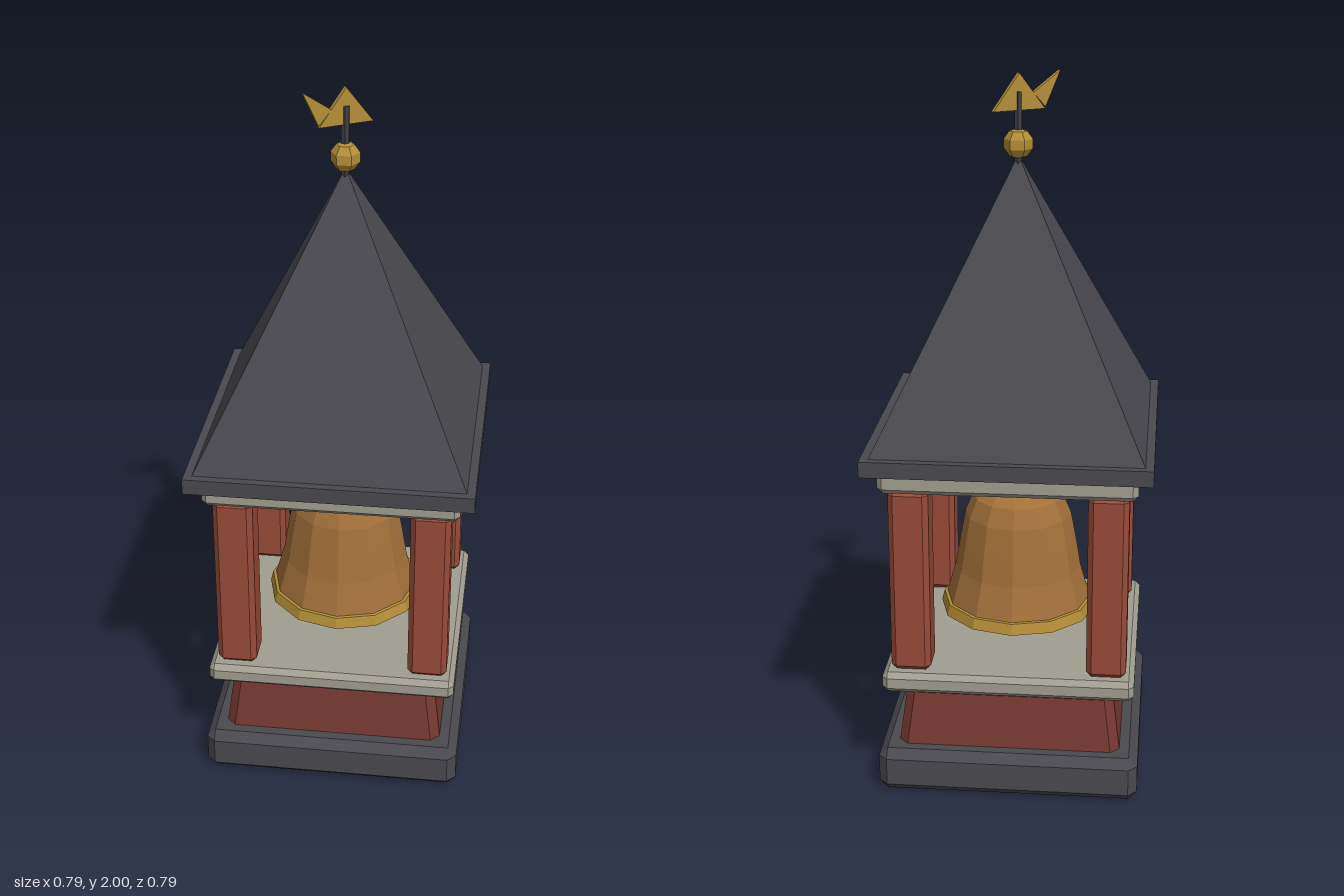
import * as THREE from 'three';
import { ConvexGeometry } from 'three/addons/geometries/ConvexGeometry.js';

const mat = (name, color, side = THREE.FrontSide) =>
  new THREE.MeshStandardMaterial({ name, color, side, flatShading: true });

// Box with chamfered edges standing on y0; halfTop lets the sides taper
function chamferBox(half, y0, y1, c, halfTop = half) {
  const pts = [];
  const ring = (y, a, b) => {
    for (const sx of [-1, 1]) for (const sz of [-1, 1]) {
      pts.push(new THREE.Vector3(sx * a, y, sz * b));
      if (a !== b) pts.push(new THREE.Vector3(sx * b, y, sz * a));
    }
  };
  ring(y0, half - c, half - c);
  ring(y0 + c, half, half - c);
  ring(y1 - c, halfTop, halfTop - c);
  ring(y1, halfTop - c, halfTop - c);
  return new ConvexGeometry(pts);
}

export function createModel() {
  const slate = mat('slate', 0x4a494f);
  const stone = mat('stone', 0xa19d90);
  const brick = mat('brick', 0x984b39);
  const darkBrick = mat('dark brick', 0x763931);
  const bronze = mat('bronze', 0xa3703a, THREE.DoubleSide);
  const gold = mat('gold', 0xb48f38, THREE.DoubleSide);
  const wood = mat('wood', 0x513626);
  const iron = mat('iron', 0x404046);

  const model = new THREE.Group();
  model.name = 'bellTower';
  const add = (name, geometry, material, x = 0, y = 0, z = 0) => {
    const mesh = new THREE.Mesh(geometry, material);
    mesh.name = name;
    mesh.position.set(x, y, z);
    model.add(mesh);
    return mesh;
  };

  // Stepped base
  add('base', chamferBox(0.37, 0, 0.13, 0.025), slate);
  add('plinth', chamferBox(0.317, 0.1, 0.31, 0.025, 0.296), darkBrick);
  add('floorSlab', chamferBox(0.355, 0.31, 0.37, 0.015), stone);

  // Four corner columns
  for (const sx of [-1, 1]) for (const sz of [-1, 1])
    add('column', chamferBox(0.056, 0.37, 0.915, 0.015), brick, sx * 0.275, 0, sz * 0.275);

  // Roof
  add('ceilingSlab', chamferBox(0.355, 0.912, 0.98, 0.015), stone);
  add('eave', new THREE.BoxGeometry(0.79, 0.045, 0.79), slate, 0, 0.998, 0);
  add('roof', new THREE.ConeGeometry(0.372 * Math.SQRT2, 0.76, 4), slate, 0, 1.4, 0).rotation.y = Math.PI / 4;

  // Bell hung from a beam
  add('beam', new THREE.BoxGeometry(0.6, 0.06, 0.1), wood, 0, 0.883, 0);
  add('bellHanger', new THREE.CylinderGeometry(0.03, 0.03, 0.04, 8), iron, 0, 0.845, 0);
  const lathe = (pts) => new THREE.LatheGeometry(pts.map(([r, y]) => new THREE.Vector2(r, y)), 12);
  add('bell', lathe([[0.212, 0.472], [0.184, 0.57], [0.17, 0.655], [0.155, 0.735],
    [0.132, 0.79], [0.08, 0.832], [0, 0.838]]), bronze);
  add('bellLip', lathe([[0.2, 0.474], [0.205, 0.442], [0.228, 0.442], [0.22, 0.474], [0.2, 0.476]]), gold);
  add('clapperRod', new THREE.CylinderGeometry(0.012, 0.012, 0.38, 6), iron, 0, 0.64, 0);
  add('clapper', new THREE.SphereGeometry(0.046, 10, 8), iron, 0, 0.441, 0);

  // Finial and weathervane
  add('finialBall', new THREE.SphereGeometry(0.042, 6, 5), gold, 0, 1.81, 0);
  add('vanePole', new THREE.CylinderGeometry(0.012, 0.012, 0.2, 6), iron, 0, 1.85, 0);
  const vanePlate = (name, pts) => {
    const shape = new THREE.Shape(pts.map(([x, y]) => new THREE.Vector2(x, y)));
    const g = new THREE.ExtrudeGeometry(shape, { depth: 0.014, bevelEnabled: false });
    g.translate(0, 0, -0.007);
    add(name, g, gold).rotation.y = Math.PI / 6;
  };
  vanePlate('vaneHead', [[-0.077, 1.9], [0.077, 1.9], [0, 2]]);
  vanePlate('vaneTail', [[-0.078, 1.905], [-0.042, 1.945], [-0.122, 2]]);

  return model;
}
